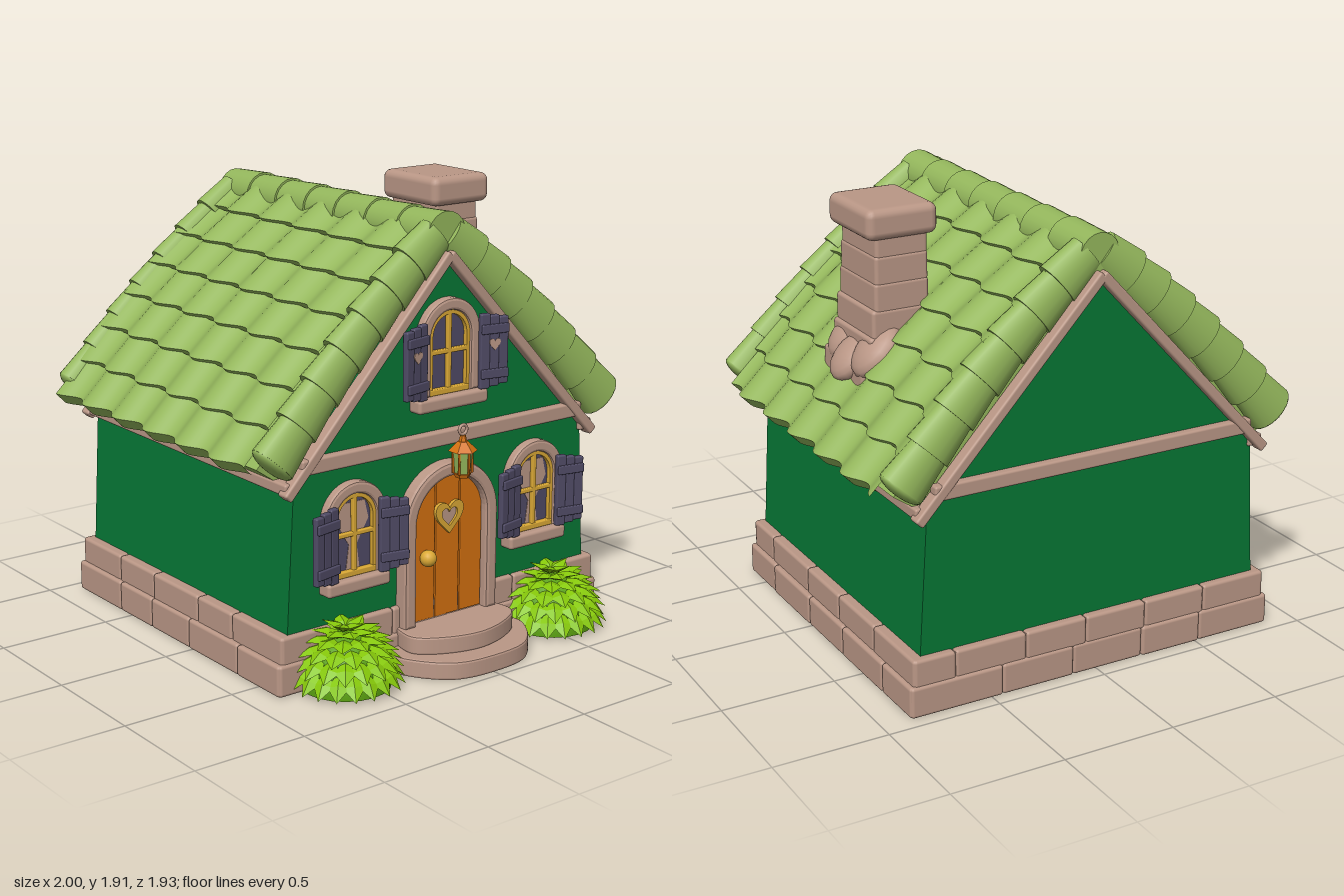
import * as THREE from 'three';
import { toCreasedNormals, mergeGeometries } from 'three/addons/utils/BufferGeometryUtils.js';
import { RoundedBoxGeometry } from 'three/addons/geometries/RoundedBoxGeometry.js';

const mat = (name, color) => Object.assign(new THREE.MeshStandardMaterial({ color }), { name });
const M = {
  roof: mat('roofGreen', 0x94b75c), wall: mat('wallGreen', 0x067735), stone: mat('stone', 0xba9786),
  wood: mat('orangeWood', 0xd47110), gold: mat('gold', 0xdba935), dark: mat('slatePurple', 0x504b66),
  leaf: mat('leafGreen', 0x86c80a), bush: mat('bushGreen', 0x5aa010),
};
const V2 = (x, y) => new THREE.Vector2(x, y);
const V3 = (x, y, z) => new THREE.Vector3(x, y, z);

function add(parent, name, geo, material, x = 0, y = 0, z = 0) {
  const m = new THREE.Mesh(geo, material);
  m.name = name;
  m.position.set(x, y, z);
  parent.add(m);
  return m;
}
const rbox = (w, h, d, r = 0.015) => new RoundedBoxGeometry(w, h, d, 2, r);
const extrude = (shape, depth, bevel = 0) => new THREE.ExtrudeGeometry(shape, {
  depth, curveSegments: 16, bevelEnabled: bevel > 0, bevelSize: bevel, bevelThickness: bevel, bevelOffset: -bevel, bevelSegments: 2,
});
const arcPoints = (r, spring, from, to) => Array.from({ length: 25 }, (_, k) => {
  const a = from + (to - from) * k / 24;
  return V2(r * Math.cos(a), spring + r * Math.sin(a));
});
// Round-topped panel, and round-topped band open at the foot
const arch = (hw, spring) => new THREE.Shape([V2(-hw, 0), V2(hw, 0), ...arcPoints(hw, spring, 0, Math.PI)]);
const archBand = (hw, inner, spring) => new THREE.Shape([
  V2(hw, 0), ...arcPoints(hw, spring, 0, Math.PI), V2(-hw, 0),
  V2(-inner, 0), ...arcPoints(inner, spring, Math.PI, 0), V2(inner, 0),
]);
function heart(r, Type = THREE.Shape) {
  const s = new Type();
  s.moveTo(0, -r);
  s.bezierCurveTo(r * 0.5, -r * 0.5, r, -r * 0.1, r, r * 0.35);
  s.bezierCurveTo(r, r, r * 0.15, r, 0, r * 0.45);
  s.bezierCurveTo(-r * 0.15, r, -r, r, -r, r * 0.35);
  s.bezierCurveTo(-r, -r * 0.1, -r * 0.5, -r * 0.5, 0, -r);
  return s;
}
// Skin closed loops of points, listed counter-clockwise and advancing along +z
function loft(sections) {
  const n = sections[0].length, idx = [];
  for (let k = 0; k < sections.length - 1; k++)
    for (let i = 0; i < n; i++) {
      const a = k * n + i, b = k * n + (i + 1) % n;
      idx.push(a, b, b + n, a, b + n, a + n);
    }
  const g = new THREE.BufferGeometry().setFromPoints(sections.flat());
  g.setIndex(idx);
  return toCreasedNormals(g, 0.8);
}

// Wavy tile courses, barrel tiles on the verges and a ridge cap
function buildRoof() {
  const g = new THREE.Group(); g.name = 'roof';
  const ROWS = 7, n = V2(0.695, 0.719);
  const top = (s, lift) => V2(0.04 + 0.92 * s, 1.85 - 0.885 * s).addScaledVector(n, lift + 0.045 * Math.sin(Math.PI * Math.min(s, 1)));
  for (const side of [1, -1]) {
    for (let r = 0; r < ROWS; r++) {
      const sections = [];
      for (let k = 0; k <= 72; k++) {
        const z = -0.87 + 1.43 * k / 72;
        const c = Math.cos((z + 0.12) * Math.PI * 8), w = 0.02 * c;
        const s0 = r / ROWS, s1 = (r + 1) / ROWS + 0.008 + 0.014 * c;
        const loop = [top(s0, w - 0.012), top(s0, -0.09), top(s1, w - 0.06), top(s1, w + 0.008)]
          .map(p => V3(side * p.x, p.y, z));
        sections.push(side > 0 ? loop : loop.reverse());
      }
      add(g, 'tileCourse', loft(sections), M.roof);
    }
    const path = s => V3(0.03 + 0.83 * s, 1.785 - 0.79 * s + 0.035 * Math.sin(Math.PI * s), 0);
    for (const end of [1, -1])
      for (let r = 0; r < ROWS; r++) {
        const a = path(r / ROWS), b = path((r + 1) / ROWS + 0.02), d = b.clone().sub(a);
        const geo = new THREE.CylinderGeometry(0.108, 0.088, d.length(), 18).scale(1, 1, 0.68);
        const s = (r + 0.5) / ROWS, z = end > 0 ? 0.58 + 0.05 * s : -0.85 - 0.04 * s;
        const m = add(g, 'vergeTile', geo, M.roof, side * (a.x + b.x) / 2, (a.y + b.y) / 2, z);
        d.x *= side;
        m.quaternion.setFromUnitVectors(V3(0, 1, 0), d.normalize());
        // Rounded lip closing the lowest tile
        if (r === ROWS - 1) {
          const lip = add(g, 'vergeLip', new THREE.SphereGeometry(0.106, 18, 12).scale(1, 0.3, 0.68), M.roof, side * b.x, b.y, z);
          lip.quaternion.copy(m.quaternion);
        }
      }
  }
  for (let i = 0; i < 7; i++) {
    const geo = new THREE.CylinderGeometry(0.1, 0.09, 0.235, 20).rotateX(Math.PI / 2);
    add(g, 'ridgeTile', geo, M.roof, 0, 1.785, -0.785 + i * 0.215);
  }
  const core = new THREE.Shape([V2(0, 1.8), V2(-0.9, 0.94), V2(-0.8, 0.87), V2(0, 1.68), V2(0.8, 0.87), V2(0.9, 0.94)]);
  add(g, 'roofCore', extrude(core, 1.42), M.roof, 0, 0, -0.87);
  return g;
}

// Stone plinth of two courses of uneven blocks
function buildPlinth() {
  const g = new THREE.Group(); g.name = 'plinth';
  let seed = 7;
  const rnd = () => (seed = (seed * 16807) % 2147483647) / 2147483647;
  add(g, 'plinthCore', new THREE.BoxGeometry(1.68, 0.235, 1.56), M.stone, 0, 0.1225, -0.145);
  for (let c = 0; c < 2; c++) {
    const hx = 0.87 - c * 0.02, hz = 0.795 - c * 0.008, h = c ? 0.125 : 0.135, y = c ? 0.185 : 0.0675;
    for (const [half, along] of [[hx, true], [hz, false]])
      for (const side of [1, -1]) {
        let p = -half;
        while (p < half - 0.01) {
          let len = 0.24 + 0.14 * rnd();
          if (half - p - len < 0.14) len = half - p;
          const t = 0.13 + 0.014 * rnd(), q = p + len / 2;
          if (along) add(g, 'plinthStone', rbox(len, h, t, 0.014), M.stone, q, y, -0.145 + side * (hz - 0.065));
          else add(g, 'plinthStone', rbox(t, h, len, 0.014), M.stone, side * (hx - 0.065), y, -0.145 + q);
          p += len;
        }
      }
  }
  return g;
}

function buildWindow(x, y, upper) {
  const g = new THREE.Group(); g.name = 'window';
  g.position.set(x, y, 0.61);
  add(g, 'windowSurround', extrude(archBand(0.157, 0.106, 0.245), 0.04, 0.012), M.stone);
  add(g, 'windowSill', rbox(upper ? 0.37 : 0.32, 0.06, 0.08), M.stone, 0, -0.03, 0.035);
  add(g, 'windowPane', extrude(arch(0.112, 0.245), 0.008), M.dark, 0, 0, 0.012);
  if (!upper) { // light gap between the curtains
    const gap = new THREE.Shape([V2(-0.035, 0.02), V2(0.035, 0.02), V2(0.02, 0.13), V2(0.08, 0.23), V2(0.06, 0.31), V2(-0.06, 0.31), V2(-0.08, 0.23), V2(-0.02, 0.13)]);
    add(g, 'curtainGap', extrude(gap, 0.004), M.stone, 0, 0, 0.018);
  }
  add(g, 'windowFrame', extrude(archBand(0.114, 0.09, 0.245), 0.04), M.gold);
  add(g, 'windowRail', rbox(0.21, 0.026, 0.03, 0.005), M.gold, 0, 0.013, 0.028);
  add(g, 'mullion', rbox(0.022, 0.34, 0.02, 0.005), M.gold, 0, 0.175, 0.03);
  add(g, 'transom', rbox(0.2, 0.02, 0.02, 0.005), M.gold, 0, 0.18, 0.03);
  for (const side of [1, -1]) {
    const s = new THREE.Group(); s.name = 'shutter';
    s.position.set(side * (upper ? 0.207 : 0.172), 0.158, 0.072);
    s.rotation.y = -side * 0.2;
    g.add(s);
    for (const i of [-1, 0, 1]) add(s, 'shutterPlank', rbox(0.046, 0.32 - 0.016 * (i * side + 1), 0.028, 0.007), M.dark, i * 0.043);
    for (const i of [-1, 1]) add(s, 'shutterBatten', rbox(0.128, 0.04, 0.014, 0.005), M.dark, 0, i * 0.095, 0.018);
    if (upper) add(s, 'shutterHeart', extrude(heart(0.026), 0.004), M.stone, 0, 0.03, 0.013);
  }
  return g;
}

function buildDoor() {
  const g = new THREE.Group(); g.name = 'door';
  g.position.set(0, 0.15, 0.61);
  add(g, 'doorSurround', extrude(archBand(0.25, 0.19, 0.44), 0.06, 0.015), M.stone);
  add(g, 'doorBack', extrude(arch(0.195, 0.44), 0.015), M.wood);
  const edges = [-0.19, -0.066, 0.066, 0.19];
  for (let i = 0; i < 3; i++) {
    const a = edges[i] + 0.003, b = edges[i + 1] - 0.003, pts = [V2(a, 0.01), V2(b, 0.01)];
    for (let k = 0; k <= 8; k++) {
      const x = b + (a - b) * k / 8;
      pts.push(V2(x, 0.44 + Math.sqrt(0.19 * 0.19 - x * x)));
    }
    add(g, 'doorPlank', extrude(new THREE.Shape(pts), 0.02, 0.004), M.wood, 0, 0, 0.015);
  }
  const ring = heart(0.075);
  ring.holes.push(heart(0.042, THREE.Path));
  add(g, 'heartFrame', extrude(ring, 0.018), M.gold, 0, 0.45, 0.036);
  add(g, 'heartPane', extrude(heart(0.046), 0.008), M.stone, 0, 0.45, 0.036);
  add(g, 'doorKnob', new THREE.SphereGeometry(0.036, 16, 12), M.gold, -0.12, 0.29, 0.06);
  return g;
}

// Curved entrance steps
function step(parent, w, front, h, y) {
  const s = new THREE.Shape();
  s.moveTo(-w * 0.9, -0.58);
  s.splineThru([V2(-w, -0.75), V2(-w * 0.6, -front + 0.04), V2(0, -front), V2(w * 0.6, -front + 0.04), V2(w, -0.75), V2(w * 0.9, -0.58)]);
  add(parent, 'entranceStep', extrude(s, h - 0.02, 0.01).rotateX(-Math.PI / 2), M.stone, 0, y + 0.01, 0);
}

function buildLantern() {
  const g = new THREE.Group(); g.name = 'lantern';
  g.position.set(0, 0.87, 0.74);
  const cyl = (name, a, b, h, y, m) => add(g, name, toCreasedNormals(new THREE.CylinderGeometry(a, b, h, 6), 0.4), m, 0, y);
  cyl('lanternGlass', 0.046, 0.032, 0.1, -0.01, M.roof);
  cyl('lanternRoof', 0.022, 0.062, 0.04, 0.055, M.wood);
  cyl('lanternBase', 0.038, 0.03, 0.018, -0.07, M.wood);
  cyl('lanternFinial', 0.012, 0.018, 0.03, 0.085, M.wood);
  for (let i = 0; i < 6; i++) {
    const a = i * Math.PI / 3, bar = cyl('lanternBar', 0.006, 0.006, 0.1, -0.01, M.wood);
    bar.position.x = 0.04 * Math.sin(a); bar.position.z = 0.04 * Math.cos(a);
  }
  add(g, 'lanternRing', new THREE.TorusGeometry(0.02, 0.007, 8, 16), M.stone, 0, 0.125);
  return g;
}

// Dome of overlapping drooping leaves
function buildBush(x) {
  const g = new THREE.Group(); g.name = 'bush';
  g.position.set(x, 0, 0.685);
  add(g, 'bushCore', new THREE.SphereGeometry(0.19, 20, 10, 0, Math.PI * 2, 0, Math.PI / 2).scale(1, 1.25, 1), M.bush);
  const leaves = [];
  for (let r = 0; r < 6; r++) {
    const phi = 0.14 + r * 0.235, count = 5 + r * 3;
    for (let i = 0; i < count; i++) {
      const a = (i + (r % 2) / 2) / count * Math.PI * 2;
      const n = V3(Math.sin(phi) * Math.cos(a), Math.cos(phi), Math.sin(phi) * Math.sin(a));
      const down = V3(Math.cos(phi) * Math.cos(a), -Math.sin(phi), Math.cos(phi) * Math.sin(a));
      const d = n.clone().multiplyScalar(0.5).addScaledVector(down, 0.86).normalize();
      const side = V3(Math.sin(a), 0, -Math.cos(a)), flat = side.clone().cross(d);
      const leaf = new THREE.OctahedronGeometry(1).scale(0.046, 0.07, 0.015);
      const p = n.clone().multiply(V3(0.207, 0.255, 0.207));
      p.y = Math.max(p.y, 0.06);
      leaf.applyMatrix4(new THREE.Matrix4().makeBasis(side, d, flat).setPosition(p));
      leaves.push(leaf);
    }
  }
  add(g, 'bushLeaves', mergeGeometries(leaves), M.leaf);
  return g;
}

function buildChimney() {
  const g = new THREE.Group(); g.name = 'chimney';
  const widths = [0.32, 0.275, 0.26, 0.245, 0.24, 0.235];
  widths.forEach((w, i) => add(g, 'chimneyCourse', rbox(w, 0.13, 0.36 - 0.008 * i, 0.016), M.stone, 0.43 + w / 2, 1.2 + i * 0.112, -0.125));
  add(g, 'chimneyCap', rbox(0.32, 0.13, 0.38, 0.035), M.stone, 0.55, 1.845, -0.12);
  // Mortar flare spreading over the tiles
  for (const [x, y, z, r] of [[0.66, 1.31, -0.02, 0.1], [0.66, 1.31, -0.26, 0.11], [0.71, 1.26, -0.14, 0.1]]) {
    const foot = add(g, 'chimneyFoot', new THREE.SphereGeometry(r, 16, 10).scale(1.2, 0.6, 1), M.stone, x, y, z);
    foot.rotation.z = -0.8;
  }
  return g;
}

export function createModel() {
  const model = new THREE.Group(); model.name = 'cottage';
  const house = new THREE.Shape([V2(-0.81, 0.2), V2(0.81, 0.2), V2(0.77, 0.88), V2(0, 1.71), V2(-0.77, 0.88)]);
  add(model, 'walls', extrude(house, 1.52), M.wall, 0, 0, -0.9);
  model.add(buildPlinth(), buildRoof(), buildChimney(), buildDoor(), buildLantern());
  // Timber trim on both gables and along the eaves
  for (const z of [0.63, -0.91]) {
    add(model, 'gableBeam', rbox(1.5, 0.065, 0.05, 0.01), M.stone, 0, 0.94, z);
    for (const side of [1, -1]) {
      const rake = add(model, 'rakeBoard', rbox(1.21, 0.045, 0.06, 0.01), M.stone, side * 0.41, 1.27, z);
      rake.rotation.z = -side * 0.82;
    }
  }
  for (const side of [1, -1]) {
    add(model, 'eaveBoard', rbox(0.07, 0.05, 1.55, 0.01), M.stone, side * 0.79, 0.86, -0.135);
    model.add(buildWindow(side * 0.487, 0.44, false), buildBush(side * 0.565));
  }
  model.add(buildWindow(0, 1.13, true));
  step(model, 0.34, 0.97, 0.08, 0);
  step(model, 0.275, 0.88, 0.08, 0.075);
  return model;
}
